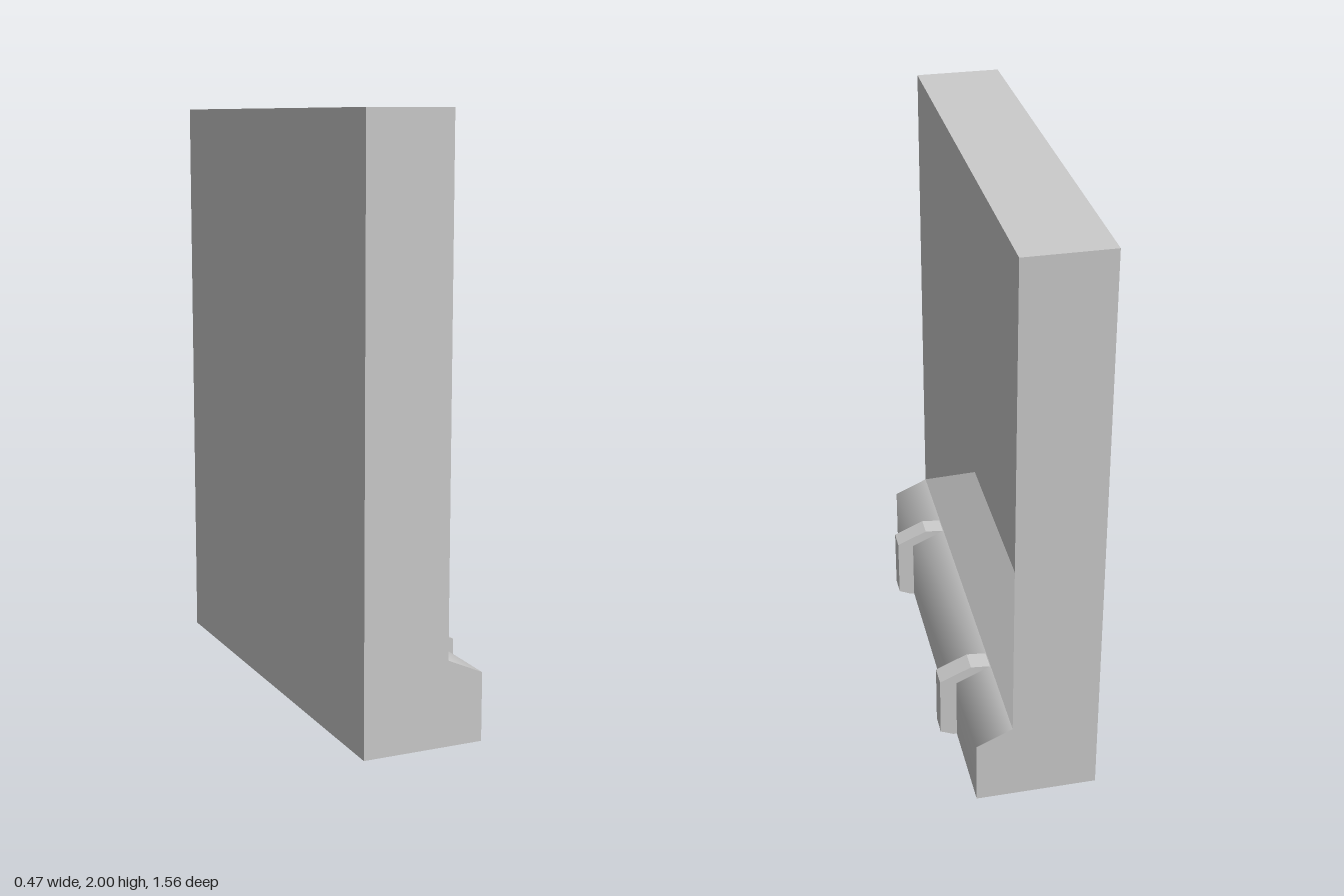
import * as THREE from 'three';

const material = new THREE.MeshStandardMaterial({ color: 0xcccccc });
const BACK = -0.238, RIM = 0.055, FLOOR = -0.106, NOSE = 0.177;
const TOP = 2, SILL = 0.285, NOSE_TOP = 0.23, HALF = 0.778;

// Quads with counter-clockwise corners; each quad keeps its own flat normal
function quadMesh(name, quads) {
  const positions = [];
  for (const [a, b, c, d] of quads) positions.push(...a, ...b, ...c, ...a, ...c, ...d);
  const geometry = new THREE.BufferGeometry();
  geometry.setAttribute('position', new THREE.Float32BufferAttribute(positions, 3));
  geometry.computeVertexNormals();
  const mesh = new THREE.Mesh(geometry, material);
  mesh.name = name;
  return mesh;
}

// Rectangle of corners at one depth x, counter-clockwise seen from +x
const ring = (x, y0, y1, z) => [[x, y0, z], [x, y0, -z], [x, y1, -z], [x, y1, z]];

function createPanelShell() {
  const quads = [];
  for (const s of [1, -1]) {
    const z = s * HALF;
    const side = [
      [[BACK, 0, z], [NOSE, 0, z], [NOSE, NOSE_TOP, z], [RIM, SILL, z]],
      [[BACK, 0, z], [RIM, SILL, z], [RIM, TOP, z], [BACK, TOP, z]],
    ];
    for (const q of side) quads.push(s > 0 ? q : q.reverse());
  }
  quads.push(ring(BACK, 0, TOP, HALF).reverse());
  quads.push([[BACK, TOP, HALF], [RIM, TOP, HALF], [RIM, TOP, -HALF], [BACK, TOP, -HALF]]);
  quads.push([[BACK, 0, -HALF], [NOSE, 0, -HALF], [NOSE, 0, HALF], [BACK, 0, HALF]]);
  return quadMesh('panelShell', quads);
}

// Recess with four sloping walls that narrow to a flat floor
function createRecess() {
  const outer = ring(RIM, SILL, TOP, HALF);
  const inner = ring(FLOOR, 0.432, 1.852, 0.565);
  const quads = [inner];
  for (let i = 0; i < 4; i++) {
    const j = (i + 1) % 4;
    quads.push([outer[i], outer[j], inner[j], inner[i]]);
  }
  return quadMesh('recess', quads);
}

// Ledge front: shared vertices shade smoothly over the nose
function createLedge() {
  const profile = [[NOSE, 0], [NOSE, NOSE_TOP], [RIM, SILL]];
  const positions = profile.flatMap(([x, y]) => [x, y, HALF, x, y, -HALF]);
  const geometry = new THREE.BufferGeometry();
  geometry.setAttribute('position', new THREE.Float32BufferAttribute(positions, 3));
  geometry.setIndex([0, 1, 3, 0, 3, 2, 2, 3, 5, 2, 5, 4]);
  geometry.computeVertexNormals();
  const mesh = new THREE.Mesh(geometry, material);
  mesh.name = 'ledgeFront';
  return mesh;
}

// Strap that wraps over the ledge
function createStrap(name, z) {
  const points = [
    [0.03, 0.27], [0.17, 0.0], [0.19, 0.0], [0.235, 0.02],
    [0.235, 0.243], [0.125, 0.291], [0.06, 0.285],
  ];
  const shape = new THREE.Shape(points.map(([x, y]) => new THREE.Vector2(x, y)));
  const geometry = new THREE.ExtrudeGeometry(shape, { depth: 0.073, bevelEnabled: false });
  const mesh = new THREE.Mesh(geometry, material);
  mesh.name = name;
  mesh.position.z = z - 0.0365;
  return mesh;
}

export function createModel() {
  const group = new THREE.Group();
  group.name = 'framedPanel';
  group.add(
    createPanelShell(),
    createRecess(),
    createLedge(),
    createStrap('frontStrap', 0.437),
    createStrap('backStrap', -0.408),
  );
  return group;
}
